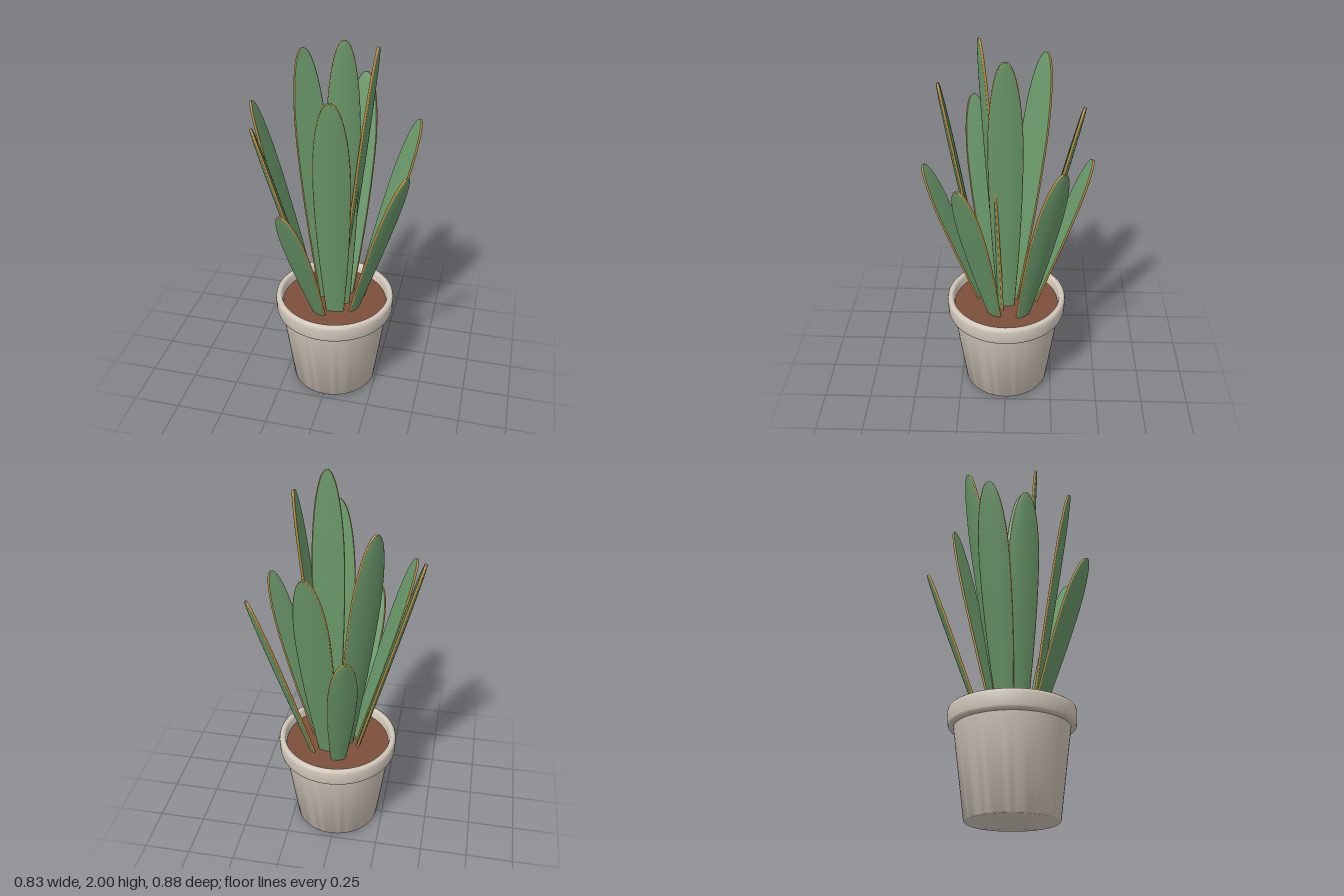
import * as THREE from 'three';
import { mergeGeometries, toCreasedNormals } from 'three/addons/utils/BufferGeometryUtils.js';

const mat = (name, color) => Object.assign(new THREE.MeshStandardMaterial({ color }), { name });

// Smooth grid of points fn(row 0..1, column 0..1)
function grid(fn, rows, cols) {
  const pos = [], idx = [];
  for (let i = 0; i <= rows; i++)
    for (let j = 0; j <= cols; j++) pos.push(...fn(i / rows, j / cols).toArray());
  for (let i = 0; i < rows; i++)
    for (let j = 0; j < cols; j++) {
      const a = i * (cols + 1) + j, c = a + cols + 1;
      idx.push(a, a + 1, c, a + 1, c + 1, c);
    }
  const g = new THREE.BufferGeometry();
  g.setAttribute('position', new THREE.Float32BufferAttribute(pos, 3));
  g.setIndex(idx);
  g.computeVertexNormals();
  return g;
}

// Half-width along the leaf: narrow foot, broad upper part, round tip
function widthAt(t) {
  const m = 0.66;
  return t < m ? 0.5 + 0.5 * Math.sin((t / m) * Math.PI / 2)
    : Math.sqrt(Math.max(0, 1 - ((t - m) / (1 - m)) ** 2));
}

const EDGE = 0.006;

// One leaf from foot to tip: two green faces and a gold margin
function makeLeaf(foot, tip, width, green, gold) {
  const base = new THREE.Vector3(...foot), axis = new THREE.Vector3(...tip).sub(base);
  const d = axis.clone().normalize();
  const n = new THREE.Vector3(axis.x, 0, axis.z).normalize();
  n.addScaledVector(d, -n.dot(d)).normalize();
  const s = d.clone().cross(n);
  const along = (r) => Math.sin(r * Math.PI / 2);
  const half = (t) => widthAt(t) * (width / 2 - 0.004);
  // Point at height t, sideways a, outward b
  const at = (t, a, b) => base.clone().addScaledVector(axis, t).addScaledVector(s, a).addScaledVector(n, b);
  const face = (side) => grid((r, c) => {
    const t = along(r), u = (c * 2 - 1) * side, w = widthAt(t);
    const cup = -0.006 * w * u * u;
    return at(t, u * half(t), cup + side * (EDGE + 0.008 * w * (1 - u * u)));
  }, 28, 10);
  const margin = (side) => grid((r, c) => {
    const t = along(r), a = (0.5 - c) * Math.PI;
    return at(t, side * (half(t) + 0.004 * Math.cos(a)), -0.006 * widthAt(t) + side * EDGE * Math.sin(a));
  }, 28, 3);

  const leaf = new THREE.Group();
  leaf.name = 'leaf';
  const blade = new THREE.Mesh(mergeGeometries([face(1), face(-1)]), green);
  blade.name = 'leafBlade';
  const rim = new THREE.Mesh(mergeGeometries([margin(1), margin(-1)]), gold);
  rim.name = 'leafMargin';
  leaf.add(blade, rim);
  return leaf;
}

export function createModel() {
  const clay = mat('pale clay', 0xd2c8bb);
  const earth = mat('brown soil', 0x7d503c);
  const green = mat('leaf green', 0x6b9a6b);
  const gold = mat('gold margin', 0xb08a40);
  const model = new THREE.Group();
  model.name = 'pottedPlant';

  // Tapered pot with a thick rounded collar
  const profile = [
    [0, 0], [0.222, 0], [0.228, 0.006], [0.287, 0.452], [0.306, 0.453], [0.313, 0.458], [0.316, 0.468],
    [0.318, 0.53], [0.315, 0.543], [0.307, 0.55], [0.296, 0.55], [0.288, 0.546], [0.284, 0.536], [0.274, 0.47],
  ].map(([x, y]) => new THREE.Vector2(x, y));
  const pot = new THREE.Mesh(toCreasedNormals(new THREE.LatheGeometry(profile, 64), 0.9), clay);
  pot.name = 'pot';
  pot.position.x = 0.01;

  // Soil surface
  const soil = new THREE.Mesh(new THREE.CylinderGeometry(0.279, 0.274, 0.03, 64), earth);
  soil.name = 'soil';
  soil.position.set(0.01, 0.485, 0);
  model.add(pot, soil);

  // Leaves: foot x, foot z, tip x, tip y, tip z, width
  const leaves = new THREE.Group();
  leaves.name = 'leaves';
  [
    [-0.02, -0.15, -0.105, 1.31, -0.435, 0.145],
    [0.05, -0.09, 0.09, 1.68, -0.365, 0.18],
    [0.135, -0.09, 0.39, 1.49, -0.265, 0.16],
    [-0.04, -0.03, -0.2, 1.84, -0.19, 0.18],
    [-0.105, 0.0, -0.41, 1.62, 0.0, 0.16],
    [-0.08, 0.06, -0.355, 1.555, 0.18, 0.155],
    [-0.04, 0.14, -0.145, 1.25, 0.435, 0.145],
    [0.035, 0.1, 0.06, 1.78, 0.315, 0.182],
    [0.13, 0.06, 0.4, 1.4, 0.21, 0.15],
    [0.05, 0.0, 0.212, 1.94, 0.0, 0.17],
    [0.055, 0.03, 0.08, 2.0, 0.12, 0.165],
  ].forEach(([fx, fz, tx, ty, tz, w]) =>
    leaves.add(makeLeaf([fx, 0.485, fz], [tx, ty, tz], w, green, gold)));
  model.add(leaves);
  return model;
}
